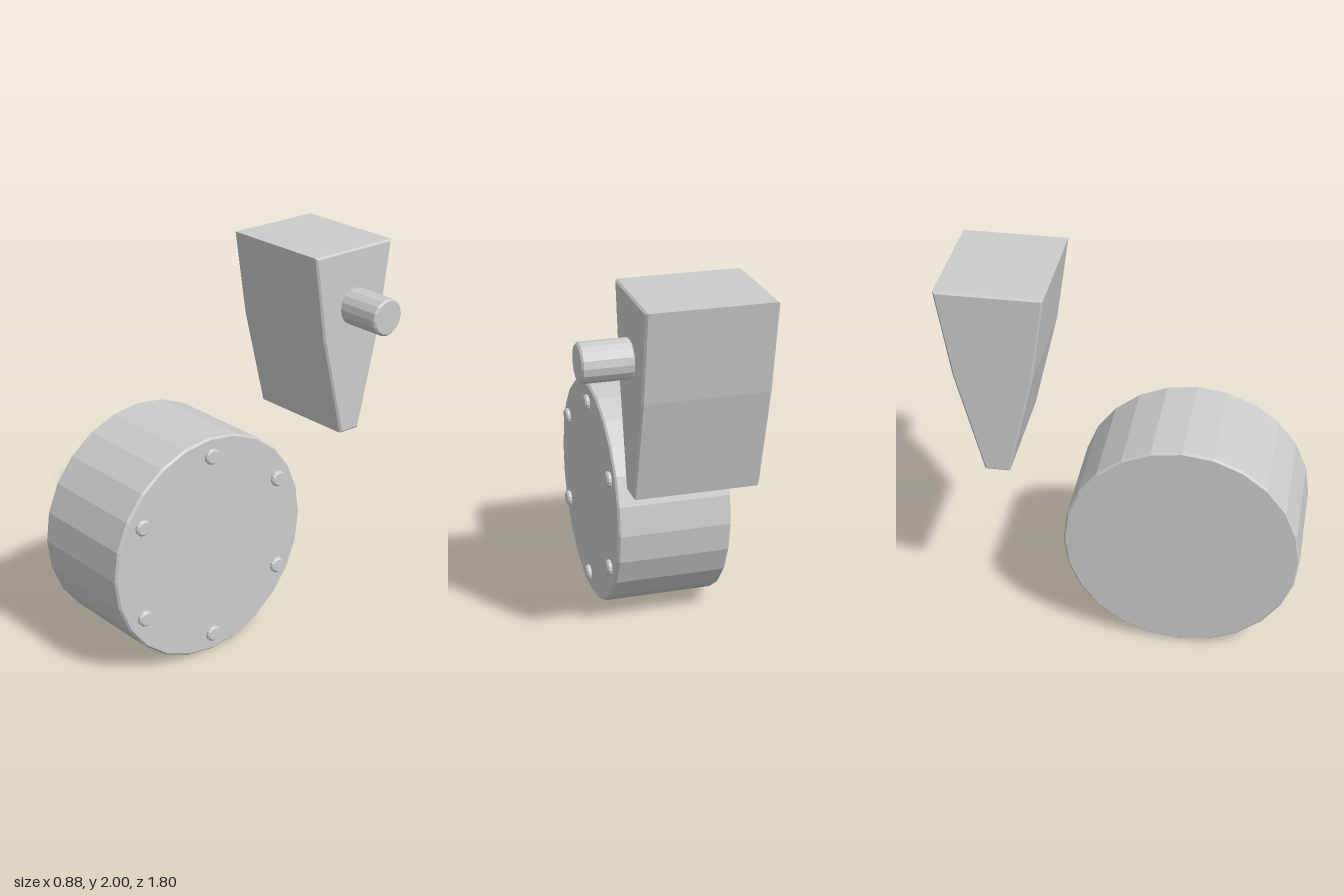
import * as THREE from 'three';

const material = new THREE.MeshStandardMaterial({ color: 0xcccccc, flatShading: true });

// Prism along x from x0 to x1 with chamfered ends; outline points are [z, y]
function prism(name, outline, x0, x1, bevel) {
  const shape = new THREE.Shape(outline.map(([z, y]) => new THREE.Vector2(-z, y)));
  const geometry = new THREE.ExtrudeGeometry(shape, {
    depth: x1 - x0 - 2 * bevel,
    bevelEnabled: true,
    bevelSegments: 1,
    bevelThickness: bevel,
    bevelSize: bevel,
    bevelOffset: -bevel,
  });
  geometry.rotateY(Math.PI / 2);
  geometry.translate(x0 + bevel, 0, 0);
  const mesh = new THREE.Mesh(geometry, material);
  mesh.name = name;
  return mesh;
}

// Regular polygon outline with a corner at the top
function ring(z, y, radius, sides) {
  return Array.from({ length: sides }, (_, i) => {
    const a = (i / sides) * Math.PI * 2;
    return [z + Math.sin(a) * radius, y + Math.cos(a) * radius];
  });
}

export function createModel() {
  const model = new THREE.Group();
  model.name = 'drumAndHammer';

  // Drum with six bolts on its left face
  const drumZ = 0.296, drumY = 0.606;
  const drum = new THREE.Group();
  drum.name = 'drum';
  drum.add(prism('drumBody', ring(drumZ, drumY, 0.603, 24), -0.445, 0.155, 0.01));
  for (const [z, y] of ring(drumZ, drumY + 0.002, 0.505, 6)) {
    drum.add(prism('bolt', ring(z, y, 0.042, 12), 0.15, 0.18, 0.009));
  }
  model.add(drum);

  // Tapered block, kinked halfway down, symmetric about its own centre line
  const blockZ = -0.631;
  const half = [[0.265, 2], [0.195, 1.54], [0.063, 1]];
  const outline = [
    ...half.map(([w, y]) => [blockZ + w, y]),
    ...half.slice().reverse().map(([w, y]) => [blockZ - w, y]),
  ];
  const hammer = new THREE.Group();
  hammer.name = 'hammer';
  hammer.add(prism('taperedBlock', outline, -0.445, 0.187, 0.01));

  // Pivot pin
  hammer.add(prism('pivotPin', ring(blockZ, 1.7, 0.098, 16), 0.187, 0.44, 0.01));
  model.add(hammer);

  return model;
}
